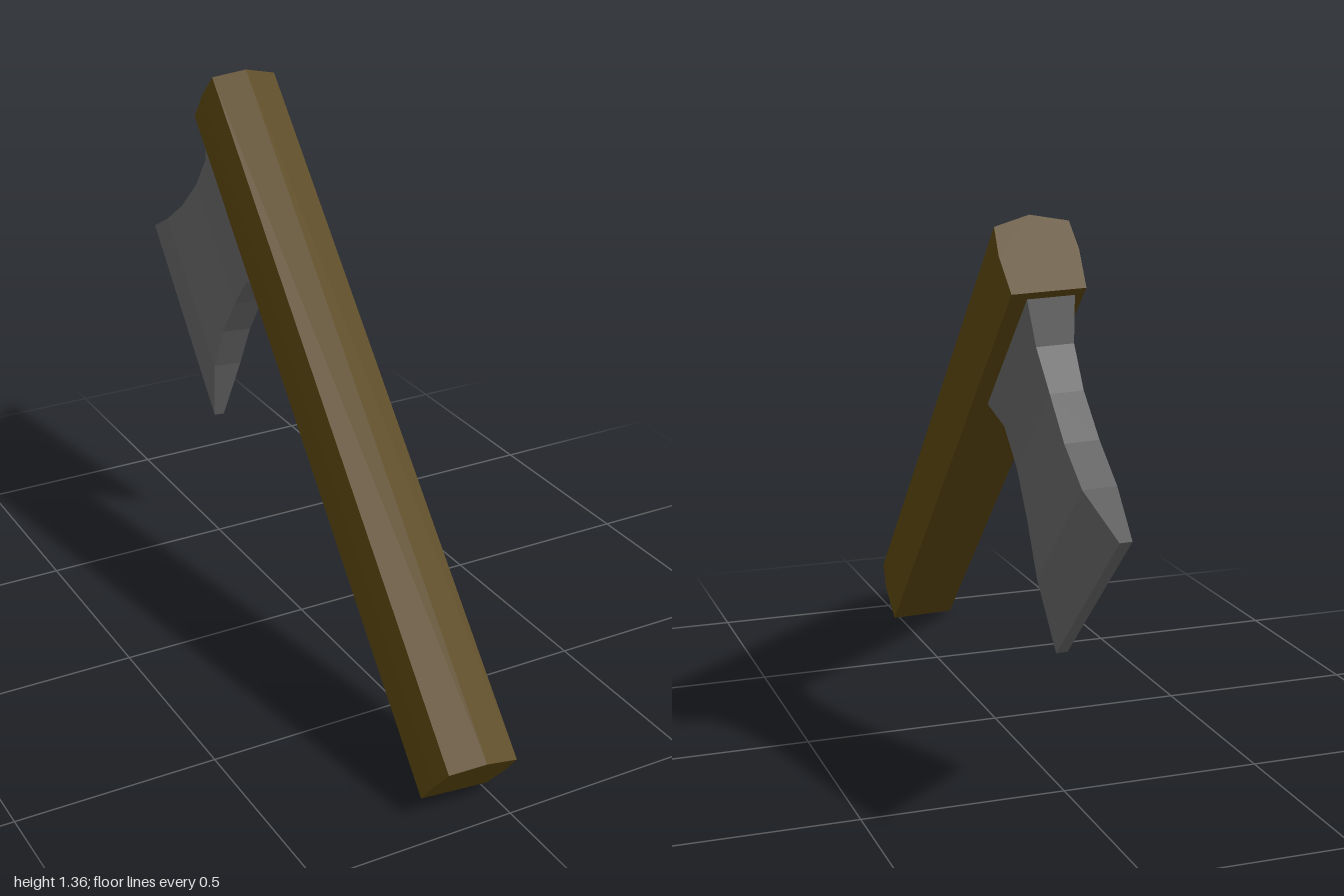
import * as THREE from 'three';

const wood = new THREE.MeshStandardMaterial({ color: 0x57430f });
wood.name = 'brown wood';
const steel = new THREE.MeshStandardMaterial({ color: 0x606060 });
steel.name = 'grey steel';

// Faceted solid lofted through rectangles: [y, half thickness in x, half width in z], listed downwards
function loftRectangles(sections) {
  const corners = [[-1, 1], [1, 1], [1, -1], [-1, -1]];
  const rings = sections.map(([y, hx, hz]) => corners.map(([sx, sz]) => [sx * hx, y, sz * hz]));
  const out = [];
  const quad = (a, b, c, d) => out.push(...a, ...b, ...c, ...a, ...c, ...d);
  for (let i = 0; i < rings.length - 1; i++) {
    for (let k = 0; k < 4; k++) {
      const n = (k + 1) % 4;
      quad(rings[i][k], rings[i + 1][k], rings[i + 1][n], rings[i][n]);
    }
  }
  quad(...rings[0]);
  quad(...[...rings[rings.length - 1]].reverse());
  const geometry = new THREE.BufferGeometry();
  geometry.setAttribute('position', new THREE.Float32BufferAttribute(out, 3));
  geometry.computeVertexNormals();
  return geometry;
}

export function createModel() {
  const model = new THREE.Group();
  model.name = 'axe';

  // Lean of the axe: local -z runs along the handle from butt to head
  const butt = new THREE.Vector3(-0.07, 0.0825, 0.9375);
  const top = new THREE.Vector3(0.07, 1.2875, -0.4975);
  const length = butt.distanceTo(top);
  const w = butt.clone().sub(top).normalize();
  const u = new THREE.Vector3(0, 0.766, 0.643).cross(w).normalize();
  const v = w.clone().cross(u);
  const axe = new THREE.Group();
  axe.name = 'leaningAxe';
  axe.quaternion.setFromRotationMatrix(new THREE.Matrix4().makeBasis(u, v, w));
  axe.position.copy(butt);
  model.add(axe);

  // Handle: flat underside, slightly bulged sides, ridged back
  const section = new THREE.Shape([
    [-0.086, -0.1], [0.086, -0.1], [0.093, 0], [0.087, 0.076],
    [0, 0.1], [-0.087, 0.076], [-0.093, 0],
  ].map(([x, y]) => new THREE.Vector2(x, y)));
  const handle = new THREE.Mesh(
    new THREE.ExtrudeGeometry(section, { depth: length, bevelEnabled: false }), wood);
  handle.name = 'handle';
  handle.position.z = -length;
  axe.add(handle);

  // Blade: flared root, narrow neck, wide thin cutting edge
  const blade = new THREE.Mesh(loftRectangles([
    [-0.06, 0.056, 0.25],
    [-0.094, 0.056, 0.248],
    [-0.191, 0.044, 0.19],
    [-0.308, 0.039, 0.187],
    [-0.438, 0.04, 0.202],
    [-0.567, 0.039, 0.239],
    [-0.727, 0.014, 0.313],
  ]), steel);
  blade.name = 'blade';
  blade.position.set(-0.01, 0, -1.608);
  axe.add(blade);

  return model;
}
